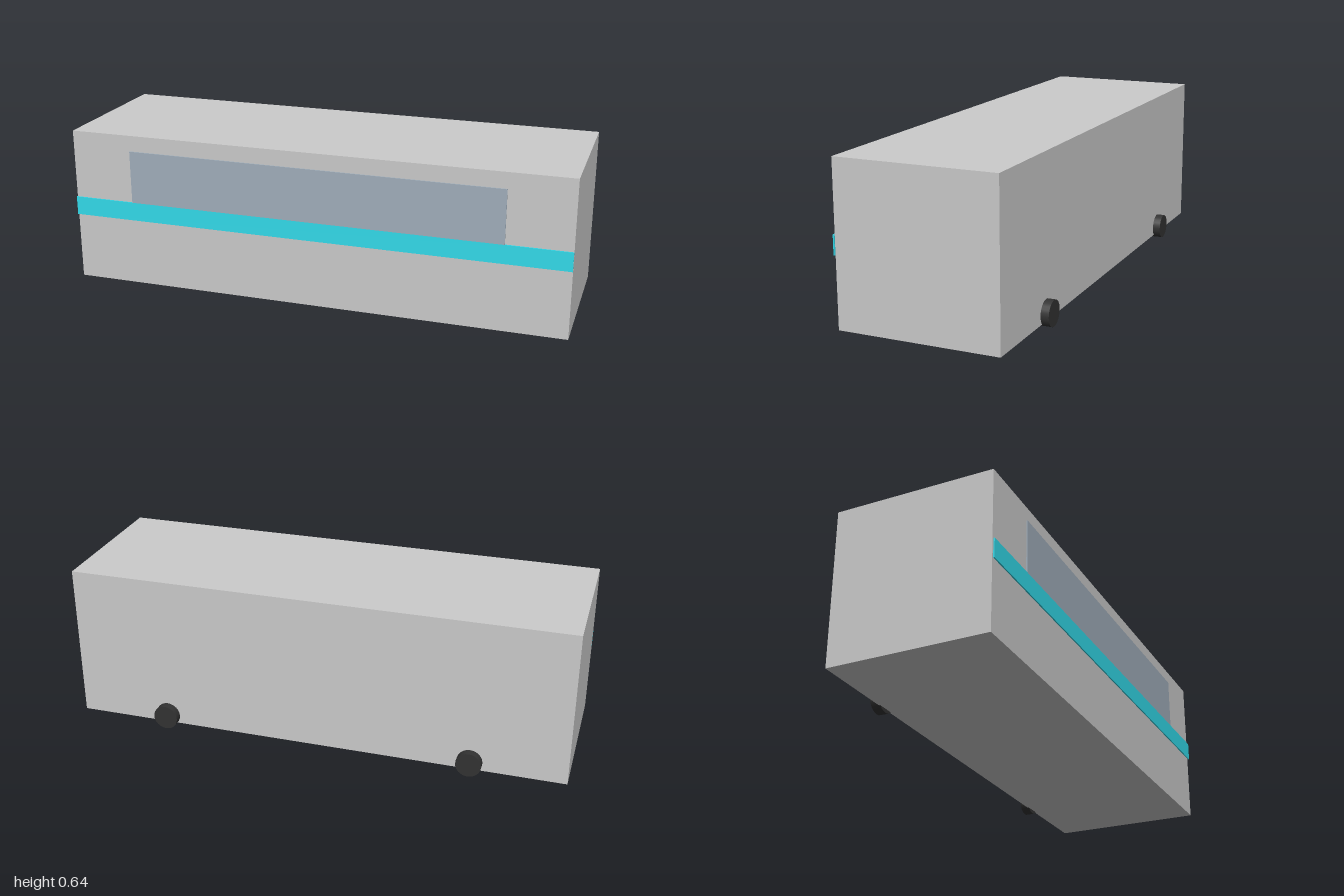
import * as THREE from 'three';

export function createModel() {
  const group = new THREE.Group();

  const add = (name, geometry, color, x, y, z) => {
    const mesh = new THREE.Mesh(geometry, new THREE.MeshStandardMaterial({ color }));
    mesh.name = name;
    mesh.position.set(x, y, z);
    group.add(mesh);
    return mesh;
  };

  // Main box of the vehicle
  add('body', new THREE.BoxGeometry(2, 0.623, 0.627), 0xcccccc, 0, 0.327, 0.0115);

  // Thin trim panels standing just off the front side; the window sits on the stripe
  add('stripe', new THREE.BoxGeometry(2, 0.075, 0.005), 0x33dcec, 0, 0.3255, 0.331);
  add('window', new THREE.BoxGeometry(1.5, 0.213, 0.005), 0xa1afbc, 0, 0.4695, 0.331);

  // Wheels on the rear side, sunk slightly into the body
  const wheelGeometry = new THREE.CylinderGeometry(0.05, 0.05, 0.037, 24).rotateX(Math.PI / 2);
  for (const [name, x] of [['leftWheel', 0.625], ['rightWheel', -0.625]]) {
    add(name, wheelGeometry, 0x333333, x, 0.05, -0.315);
  }

  return group;
}
